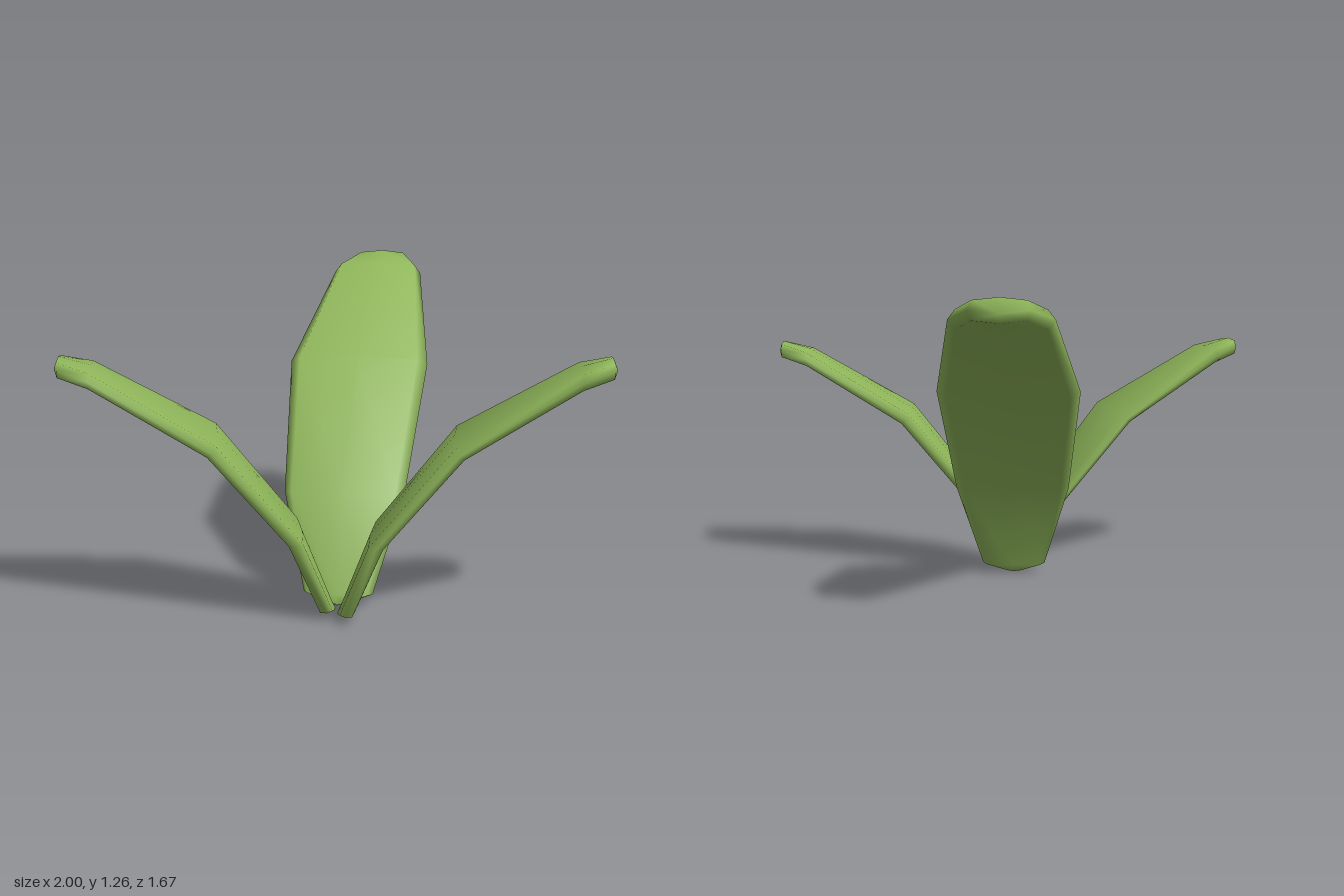
import * as THREE from 'three';

// Leaf stations from base to tip: upper point (r, y), lower point (r, y), half width
const STATIONS = [
  [0.0, 0.02, 0.055, 0.005, 0.03],
  [0.015, 0.05, 0.09, 0.04, 0.135],
  [0.155, 0.41, 0.24, 0.40, 0.238],
  [0.54, 0.89, 0.595, 0.83, 0.283],
  [1.10, 1.22, 1.10, 1.13, 0.19],
  [1.24, 1.26, 1.24, 1.17, 0.11],
];

// Cross-section: [fraction of half width, fraction of half thickness]
const SECTION = [[-1, 0], [-0.86, 0.78], [0, 1], [0.86, 0.78], [1, 0], [0.86, -0.78], [0, -1], [-0.86, -0.78]];

function leafGeometry() {
  const pos = [], index = [];
  const n = SECTION.length, last = STATIONS.length - 1;
  for (const [ur, uy, lr, ly, w] of STATIONS) {
    for (const [a, b] of SECTION) {
      const k = (1 + b) / 2;
      pos.push(lr + (ur - lr) * k, ly + (uy - ly) * k, a * w);
    }
  }
  for (let i = 0; i < last; i++) {
    for (let j = 0; j < n; j++) {
      const a = i * n + j, b = i * n + (j + 1) % n;
      index.push(a, b, a + n, b, b + n, a + n);
    }
  }
  // Closed base and slightly pointed tip
  const base = pos.length / 3, tip = base + 1;
  pos.push(0.025, 0.003, 0, 1.262, 1.205, 0);
  for (let j = 0; j < n; j++) {
    const k = (j + 1) % n;
    index.push(k, j, base, last * n + j, last * n + k, tip);
  }
  const g = new THREE.BufferGeometry();
  g.setAttribute('position', new THREE.Float32BufferAttribute(pos, 3));
  g.setIndex(index);
  g.computeVertexNormals();
  return g;
}

export function createModel() {
  const group = new THREE.Group();
  group.name = 'plant';
  const leafGreen = new THREE.MeshStandardMaterial({ color: 0x8fb65a });
  leafGreen.name = 'leafGreen';
  const geometry = leafGeometry();

  // name, base x, base z, heading, scale
  const leaves = [
    ['backLeaf', -0.03, 0.42, Math.PI / 2, 1],
    ['leftLeaf', -0.01, 0.5, 0.065, 0.8],
    ['rightLeaf', -0.025, 0.455, Math.PI + 0.265, 0.8],
  ];
  for (const [name, x, z, heading, scale] of leaves) {
    const leaf = new THREE.Mesh(geometry, leafGreen);
    leaf.name = name;
    leaf.position.set(x, 0, z);
    leaf.rotation.y = heading;
    leaf.scale.setScalar(scale);
    group.add(leaf);
  }
  return group;
}
